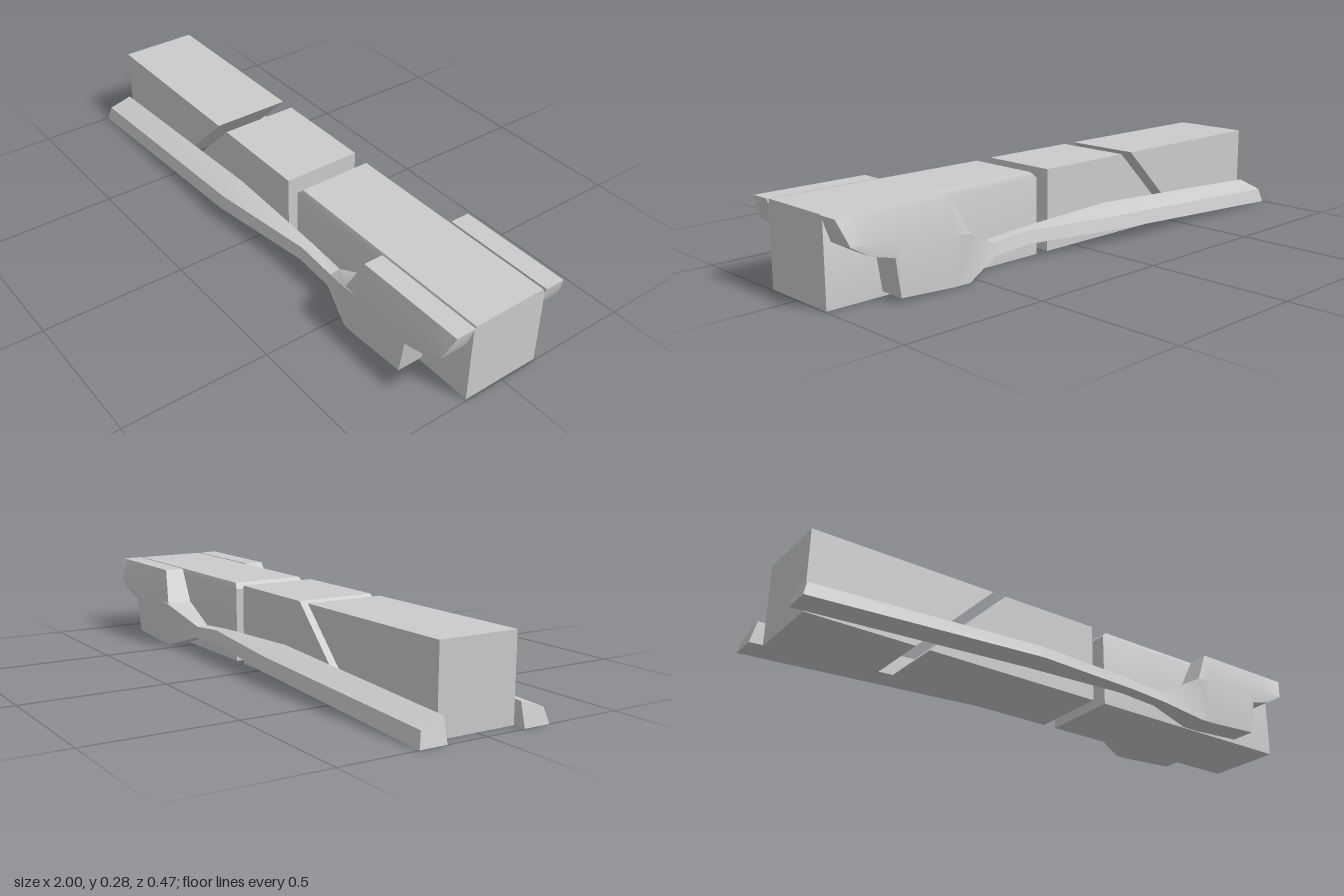
import * as THREE from 'three';
import { toCreasedNormals } from 'three/addons/utils/BufferGeometryUtils.js';

const H = 0.28, IN = 0.14;
const material = new THREE.MeshStandardMaterial({ color: 0xcccccc });

// Skins a run of equal-length point rings, with capped ends.
function loft(rings, flip) {
  const n = rings[0].length, index = [];
  const tri = (a, b, c) => (flip ? index.push(a, c, b) : index.push(a, b, c));
  for (let r = 0; r < rings.length - 1; r++) {
    for (let i = 0; i < n; i++) {
      const a = r * n + i, b = r * n + (i + 1) % n;
      tri(a, b, b + n);
      tri(a, b + n, a + n);
    }
  }
  const last = (rings.length - 1) * n;
  for (let i = 1; i < n - 1; i++) {
    tri(0, i + 1, i);
    tri(last, last + i, last + i + 1);
  }
  const g = new THREE.BufferGeometry();
  g.setAttribute('position', new THREE.Float32BufferAttribute(rings.flat(2), 3));
  g.setIndex(index);
  return toCreasedNormals(g, 0.55);
}

// Straight block with a side outline in x and y, spanning the body width.
function block(name, outline) {
  const shape = new THREE.Shape(outline.map(([x, y]) => new THREE.Vector2(x, y)));
  const g = new THREE.ExtrudeGeometry(shape, { depth: 2 * IN, bevelEnabled: false });
  g.translate(0, 0, -IN);
  const mesh = new THREE.Mesh(g, material);
  mesh.name = name;
  return mesh;
}

// Rear block with chamfered top edges, lofted upwards.
function chamferedBlock() {
  const ring = (x0, x1, y, z) => [[x0, y, z], [x1, y, z], [x1, y, -z], [x0, y, -z]];
  const g = loft([
    ring(0.17, 0.995, 0, IN),
    ring(0.17, 0.995, H - 0.02, IN),
    ring(0.19, 0.995, H, IN - 0.008),
  ]);
  const mesh = new THREE.Mesh(g, material);
  mesh.name = 'rearBlock';
  return mesh;
}

// Side rail stations: x, bottom y, bottom z, shoulder y, shoulder z, top y, top z
const stations = [
  [-1.0, 0, 0.235, 0.05, 0.222, 0.077, IN],
  [-0.16, 0.045, 0.235, 0.09, 0.222, 0.12, IN],
  [0.25, 0.06, 0.19, 0.102, 0.18, 0.104, IN],
  [0.4, 0.05, 0.19, 0.09, 0.18, 0.092, IN],
  [0.54, 0.003, 0.231, 0.16, 0.235, 0.162, 0.232],
  [0.6, 0.003, 0.231, 0.167, 0.235, H, 0.21],
  [0.8, 0.015, 0.231, 0.185, 0.235, H, 0.21],
  [0.82, 0.14, 0.234, 0.187, 0.235, H, 0.21],
  [0.9, 0.16, 0.234, 0.194, 0.235, H, 0.21],
  [0.97, 0.199, 0.235, 0.2, 0.235, H, 0.21],
  [1.0, H - 0.002, 0.211, H - 0.001, 0.2105, H, 0.21],
];

function sideRail(name, side) {
  const rings = stations.map(([x, yb, zb, ym, zm, yt, zt], i) => {
    // The thin end leans back with height
    const p = (y, z) => [x + (i === 0 ? 0.26 * y : 0), y, z * side];
    return [p(yb, IN), p(yt, IN), p(yt, zt), p(ym, zm), p(yb, zb)];
  });
  const mesh = new THREE.Mesh(loft(rings, side < 0), material);
  mesh.name = name;
  return mesh;
}

export function createModel() {
  const model = new THREE.Group();
  model.name = 'railedBody';
  model.add(
    // Two blocks parted by a diagonal gap
    block('endBlock', [[-0.955, 0], [-0.58, 0], [-0.3, H], [-0.955, H]]),
    block('middleBlock', [[-0.53, 0], [0.12, 0], [0.12, H], [-0.25, H]]),
    chamferedBlock(),
    // Flared rails along both sides
    sideRail('frontSideRail', 1),
    sideRail('backSideRail', -1),
  );
  // Winding-safe for the slim rails and lofted block
  model.traverse((o) => {
    if (!o.isMesh) return;
    const p = o.geometry.attributes.position, a = new THREE.Vector3(), b = new THREE.Vector3(), c = new THREE.Vector3();
    let volume = 0;
    for (let i = 0; i < p.count; i += 3) {
      a.fromBufferAttribute(p, i);
      b.fromBufferAttribute(p, i + 1);
      c.fromBufferAttribute(p, i + 2);
      volume += a.dot(b.cross(c));
    }
    if (volume < 0) {
      for (let i = 0; i < p.count; i += 3) {
        a.fromBufferAttribute(p, i + 1);
        b.fromBufferAttribute(p, i + 2);
        p.setXYZ(i + 1, b.x, b.y, b.z);
        p.setXYZ(i + 2, a.x, a.y, a.z);
      }
      o.geometry = toCreasedNormals(o.geometry, 0.55);
    }
  });
  return model;
}
